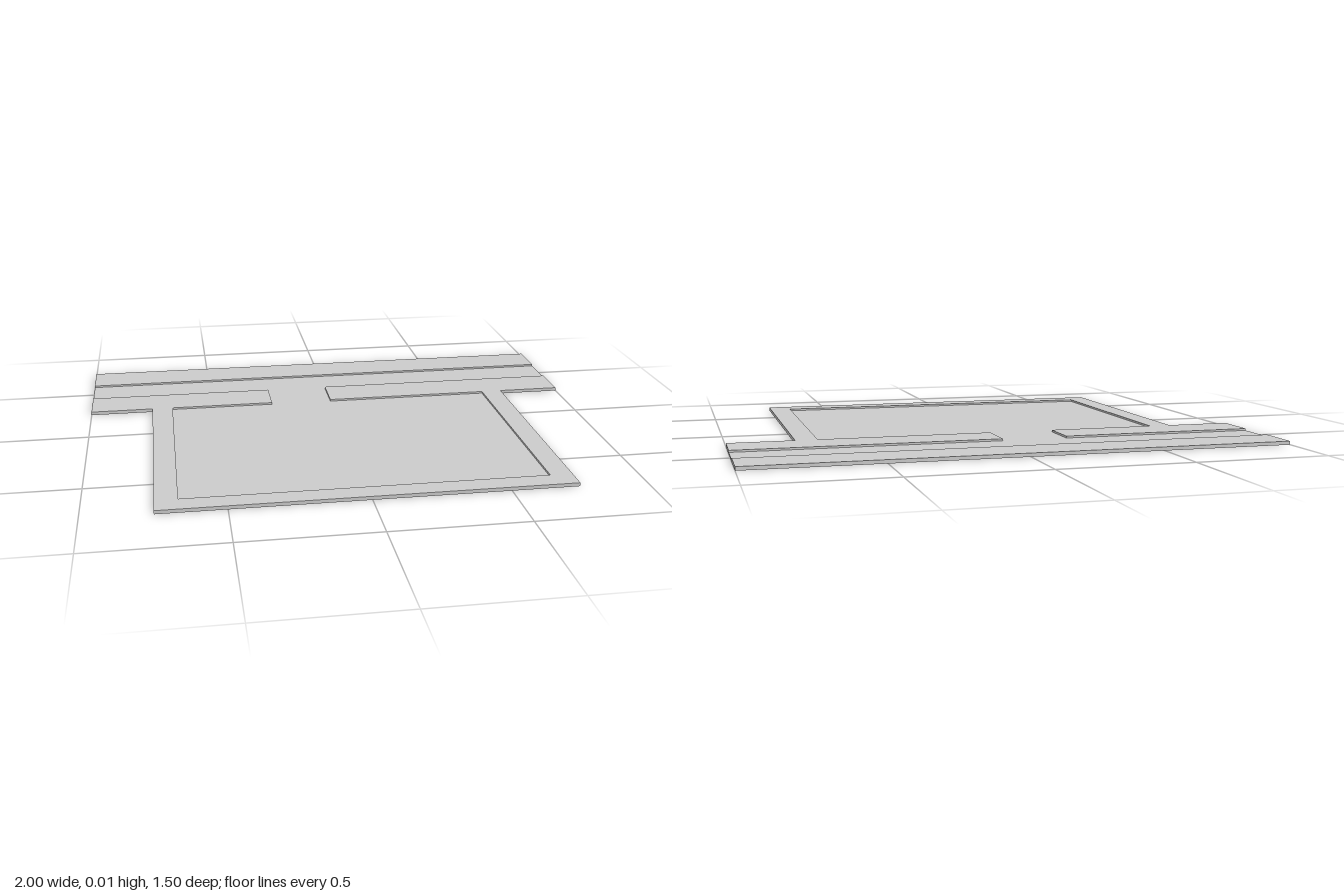
import * as THREE from 'three';

const FLOOR = 0.006; // height of the recessed floor
const TOP = 0.0135; // height of the raised areas
const U = 1 / 12; // layout module

// Extrudes a plan outline of [x, z] points (in modules) from y0 up to y1.
function slab(name, plan, y0, y1, material) {
  const shape = new THREE.Shape(plan.map(([x, z]) => new THREE.Vector2(x * U, -z * U)));
  const geometry = new THREE.ExtrudeGeometry(shape, { depth: y1 - y0, bevelEnabled: false });
  geometry.rotateX(-Math.PI / 2);
  geometry.translate(0, y0, 0);
  const mesh = new THREE.Mesh(geometry, material);
  mesh.name = name;
  return mesh;
}

export function createModel() {
  const group = new THREE.Group();
  group.name = 'floorTile';
  const material = new THREE.MeshStandardMaterial({ color: 0xcccccc, flatShading: true });

  // T-shaped floor under everything
  group.add(slab('floor', [
    [-12, -9], [12, -9], [12, -3], [9, -3], [9, 9], [-9, 9], [-9, -3], [-12, -3],
  ], 0, FLOOR, material));

  // Raised strip behind the corridor
  group.add(slab('rearWall', [[-12, -9], [12, -9], [12, -7], [-12, -7]], FLOOR, TOP, material));

  // Raised border round the room, with a doorway to the corridor
  group.add(slab('roomWall', [
    [-12, -5], [-3, -5], [-3, -3], [-8, -3], [-8, 8], [8, 8], [8, -3], [0, -3], [0, -5],
    [12, -5], [12, -3], [9, -3], [9, 9], [-9, 9], [-9, -3], [-12, -3],
  ], FLOOR, TOP, material));

  return group;
}
